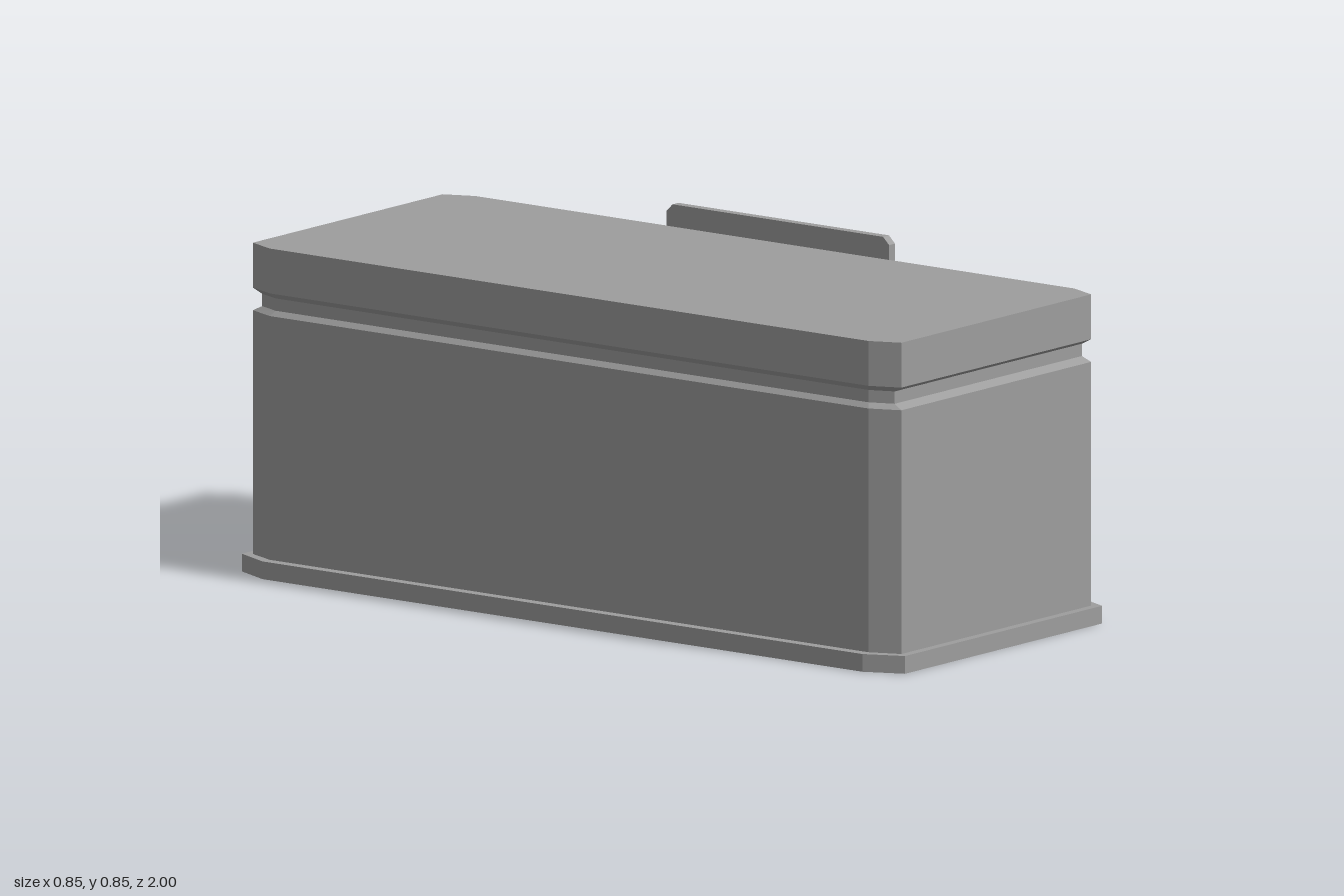
import * as THREE from 'three';

const material = new THREE.MeshStandardMaterial({ color: 0x9d9d9d, flatShading: true });

function addMesh(parent, name, geometry) {
  const mesh = new THREE.Mesh(geometry, material);
  mesh.name = name;
  parent.add(mesh);
  return mesh;
}

// Box given by its limits on each axis
function addBox(parent, name, [x0, x1], [y0, y1], [z0, z1]) {
  const mesh = addMesh(parent, name, new THREE.BoxGeometry(x1 - x0, y1 - y0, z1 - z0));
  mesh.position.set((x0 + x1) / 2, (y0 + y1) / 2, (z0 + z1) / 2);
}

// Plan outline with cut corners; side 0 is the +x wall
function outline(hx, hz, cx, cz) {
  const a = hx - cx, b = hz - cz;
  return [[hx, b], [hx, -b], [a, -hz], [-a, -hz], [-hx, -b], [-hx, b], [-a, hz], [a, hz]];
}

// Stacked plan outlines joined by flat walls, with one wall left open if asked
function loft(rings, isOpen) {
  const pos = [];
  const put = (...points) => points.forEach(([x, y, z]) => pos.push(x, y, z));
  const levels = rings.map(({ y, plan }) => plan.map(([x, z]) => [x, y, z]));
  const n = levels[0].length;
  for (let k = 0; k < levels.length - 1; k++) {
    const lo = levels[k], hi = levels[k + 1];
    for (let i = 0; i < n; i++) {
      if (isOpen(k, i)) continue;
      const j = (i + 1) % n;
      put(lo[i], lo[j], hi[j], lo[i], hi[j], hi[i]);
    }
  }
  const top = levels[levels.length - 1], bottom = levels[0];
  for (let i = 1; i < n - 1; i++) {
    put(top[0], top[i], top[i + 1]);
    put(bottom[0], bottom[i + 1], bottom[i]);
  }
  const geometry = new THREE.BufferGeometry();
  geometry.setAttribute('position', new THREE.Float32BufferAttribute(pos, 3));
  geometry.computeVertexNormals();
  return geometry;
}

// Rectangle with cut corners, as points
function cutRect(u0, u1, v0, v1, c) {
  return [[u0 + c, v0], [u1 - c, v0], [u1, v0 + c], [u1, v1 - c],
    [u1 - c, v1], [u0 + c, v1], [u0, v1 - c], [u0, v0 + c]].map(([u, v]) => new THREE.Vector2(u, v));
}

// Extrude a side elevation (u = -z, v = y) from x0 to x1
function extrudeSide(points, holes, x0, x1) {
  const shape = new THREE.Shape(points);
  holes.forEach((h) => shape.holes.push(new THREE.Path(h)));
  return new THREE.ExtrudeGeometry(shape, { depth: x1 - x0, bevelEnabled: false })
    .rotateY(Math.PI / 2).translate(x0, 0, 0);
}

export function createModel() {
  const group = new THREE.Group();
  const wallX = 0.399;

  // Plinth, notched where the door stands
  const plan = outline(0.425, 1, 0.043, 0.095);
  const notch = [[0.425, 0.1], [wallX, 0.1], [wallX, -0.099], [0.425, -0.099]];
  const plinthPoints = [plan[0], ...notch, ...plan.slice(1)].map(([x, z]) => new THREE.Vector2(x, -z));
  const plinth = new THREE.ExtrudeGeometry(new THREE.Shape(plinthPoints), { depth: 0.043, bevelEnabled: false });
  addMesh(group, 'plinth', plinth.rotateX(-Math.PI / 2));

  // Walls, groove and roof block
  const full = outline(wallX, 0.978, 0.031, 0.075);
  const neck = outline(0.387, 0.954, 0.024, 0.06);
  addMesh(group, 'walls', loft([
    { y: 0.02, plan: full }, { y: 0.635, plan: full },
    { y: 0.647, plan: neck }, { y: 0.677, plan: neck },
    { y: 0.69, plan: full }, { y: 0.799, plan: full },
  ], (level, side) => level === 0 && side === 0));

  // Entrance wall with a vent opening on each side of the door
  const openings = [cutRect(-0.783, -0.292, 0.24, 0.52, 0.007), cutRect(0.292, 0.783, 0.24, 0.52, 0.007)];
  addMesh(group, 'ventWall', extrudeSide(cutRect(-0.903, 0.903, 0.02, 0.635, 0), openings, wallX - 0.035, wallX));

  // Upright bars and back panel in each opening
  for (const [name, side] of [['frontVent', 1], ['rearVent', -1]]) {
    const vent = new THREE.Group();
    vent.name = name;
    group.add(vent);
    addBox(vent, 'ventBack', [wallX - 0.045, wallX - 0.034], [0.22, 0.54], [side * 0.54 - 0.27, side * 0.54 + 0.27]);
    for (let i = 0; i < 7; i++) {
      const z = side * (0.347 + i * 0.067);
      addBox(vent, 'ventBar', [wallX - 0.035, wallX - 0.004], [0.235, 0.525], [z - 0.0105, z + 0.0105]);
    }
  }

  // Door and handle
  addBox(group, 'door', [0.38, 0.413], [0, 0.518], [-0.099, 0.1]);
  addBox(group, 'doorHandle', [0.417, 0.423], [0.28, 0.3], [0.065, 0.099]);

  // Sign board: raised rim around a recessed panel
  const sign = new THREE.Group();
  sign.name = 'signBoard';
  group.add(sign);
  const edge = cutRect(-0.345, 0.326, 0.584, 0.853, 0.018);
  const inside = cutRect(-0.321, 0.302, 0.608, 0.833, 0.008);
  addMesh(sign, 'signRim', extrudeSide(edge, [inside], 0.398, 0.421));
  addMesh(sign, 'signPanel', extrudeSide(inside, [], 0.398, 0.414));

  return group;
}
